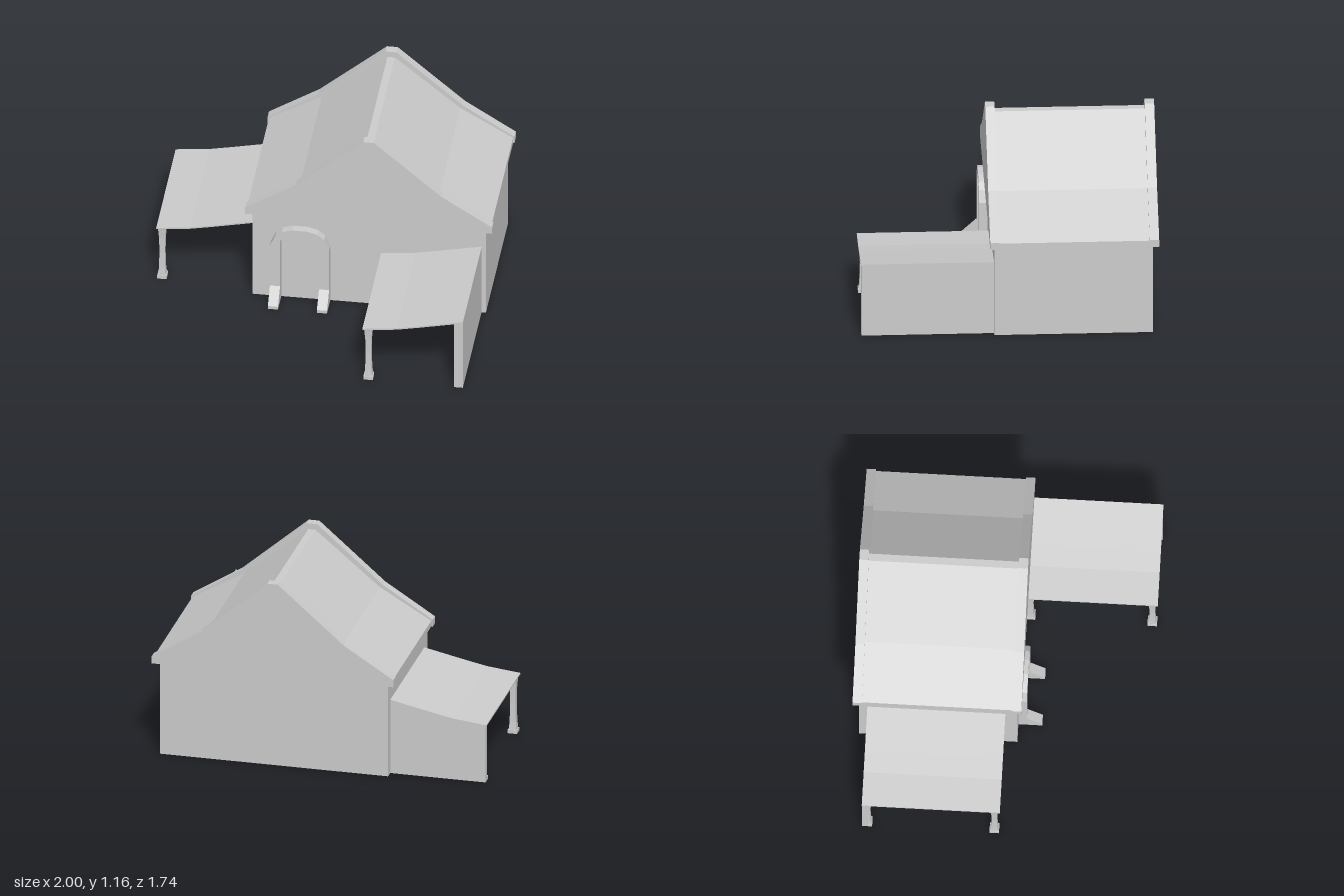
import * as THREE from 'three';

const material = new THREE.MeshStandardMaterial({ color: 0xcccccc, flatShading: true });

function add(parent, name, geometry, x = 0, y = 0, z = 0) {
  const mesh = new THREE.Mesh(geometry, material);
  mesh.name = name;
  mesh.position.set(x, y, z);
  parent.add(mesh);
  return mesh;
}

// Box given by its limits on each axis
function block(parent, name, [x0, x1], [y0, y1], [z0, z1]) {
  return add(parent, name, new THREE.BoxGeometry(x1 - x0, y1 - y0, z1 - z0),
    (x0 + x1) / 2, (y0 + y1) / 2, (z0 + z1) / 2);
}

// Outline in x and y, extruded from z0 to z1
function prism(parent, name, points, z0, z1) {
  const shape = new THREE.Shape(points.map(([x, y]) => new THREE.Vector2(x, y)));
  const geometry = new THREE.ExtrudeGeometry(shape, { depth: z1 - z0, bevelEnabled: false });
  return add(parent, name, geometry, 0, 0, z0);
}

// Completes a half outline by mirroring it about x = axis
function mirrored(half, axis) {
  return [...half, ...half.map(([x, y]) => [2 * axis - x, y]).reverse()];
}

// Square post with a narrow waist on a plinth
function post(parent, x, z) {
  const group = new THREE.Group();
  group.name = 'post';
  group.position.set(x, 0, z);
  block(group, 'plinth', [-0.028, 0.028], [0, 0.022], [-0.028, 0.028]);
  const profile = [[0, 0.02], [0.023, 0.022], [0.019, 0.07], [0.016, 0.18], [0.018, 0.28], [0.023, 0.345], [0.026, 0.365], [0, 0.365]]
    .map(([r, y]) => new THREE.Vector2(r * Math.SQRT2, y));
  add(group, 'shaft', new THREE.LatheGeometry(profile, 4, Math.PI / 4));
  parent.add(group);
}

// Lean-to: roof rising towards +x, with two posts on its low side
function leanTo(parent, name, x0, x1, z0, z1) {
  const group = new THREE.Group();
  group.name = name;
  parent.add(group);
  const w = x1 - x0;
  const top = [[x0, 0.365], [x0 + 0.2, 0.387], [x0 + 0.32, 0.411], [x1, 0.411 + (w - 0.32) * 0.215]];
  const under = top.map(([x, y]) => [x, y - 0.009]);
  prism(group, 'canopy', [...under, ...[...top].reverse()], z0, z1);
  post(group, x0 + 0.033, z0 + 0.033);
  post(group, x0 + 0.033, z1 - 0.033);
  return { group, under };
}

export function createModel() {
  const model = new THREE.Group();
  model.name = 'house';

  // House body
  block(model, 'walls', [-0.42, 0.96], [0, 0.59], [-0.84, 0.09]);

  // Roof between two raised gables
  const axis = 0.27;
  const gable = mirrored([[-0.46, 0.585], [-0.46, 0.63], [-0.16, 0.82], [0.238, 1.165]], axis).reverse();
  const slope = mirrored([[-0.452, 0.587], [-0.452, 0.622], [-0.14, 0.805], [0.248, 1.128]], axis).reverse();
  prism(model, 'roof', slope, -0.82, 0.06);
  prism(model, 'frontGable', gable, 0.06, 0.115);
  prism(model, 'backGable', gable, -0.875, -0.82);

  // Arched door frame
  const doorAxis = -0.135;
  const outer = mirrored([[-0.31, 0], [-0.31, 0.39], [-0.28, 0.46], [-0.24, 0.493], [-0.18, 0.51]], doorAxis);
  const inner = mirrored([[-0.25, 0], [-0.25, 0.432], [-0.19, 0.455]], doorAxis);
  prism(model, 'doorArch', [...outer, ...inner.reverse()], 0.085, 0.14);

  // Sloping feet of the door frame
  for (const x of [-0.28, 0.01]) {
    const foot = prism(model, 'archFoot',
      [[-0.14, 0], [-0.14, 0.105], [-0.23, 0.02], [-0.23, 0]].reverse(), 0, 0.06);
    foot.rotation.y = Math.PI / 2;
    foot.position.set(x - 0.03, 0, 0);
  }

  // Side lean-to with a back wall
  const side = leanTo(model, 'sideLeanTo', -1, -0.42, -0.79, 0.02);
  prism(side.group, 'backWall',
    [[-0.995, 0], [-0.42, 0], ...[...side.under].reverse().map(([x, y]) => [Math.max(x, -0.995), y])], -0.788, -0.75);

  // Front lean-to with a wall on its high side
  const front = leanTo(model, 'frontLeanTo', 0.34, 0.935, 0.09, 0.87);
  prism(front.group, 'sideWall', [[0.883, 0], [0.934, 0], [0.934, 0.464], [0.883, 0.451]], 0.09, 0.868);

  return model;
}
